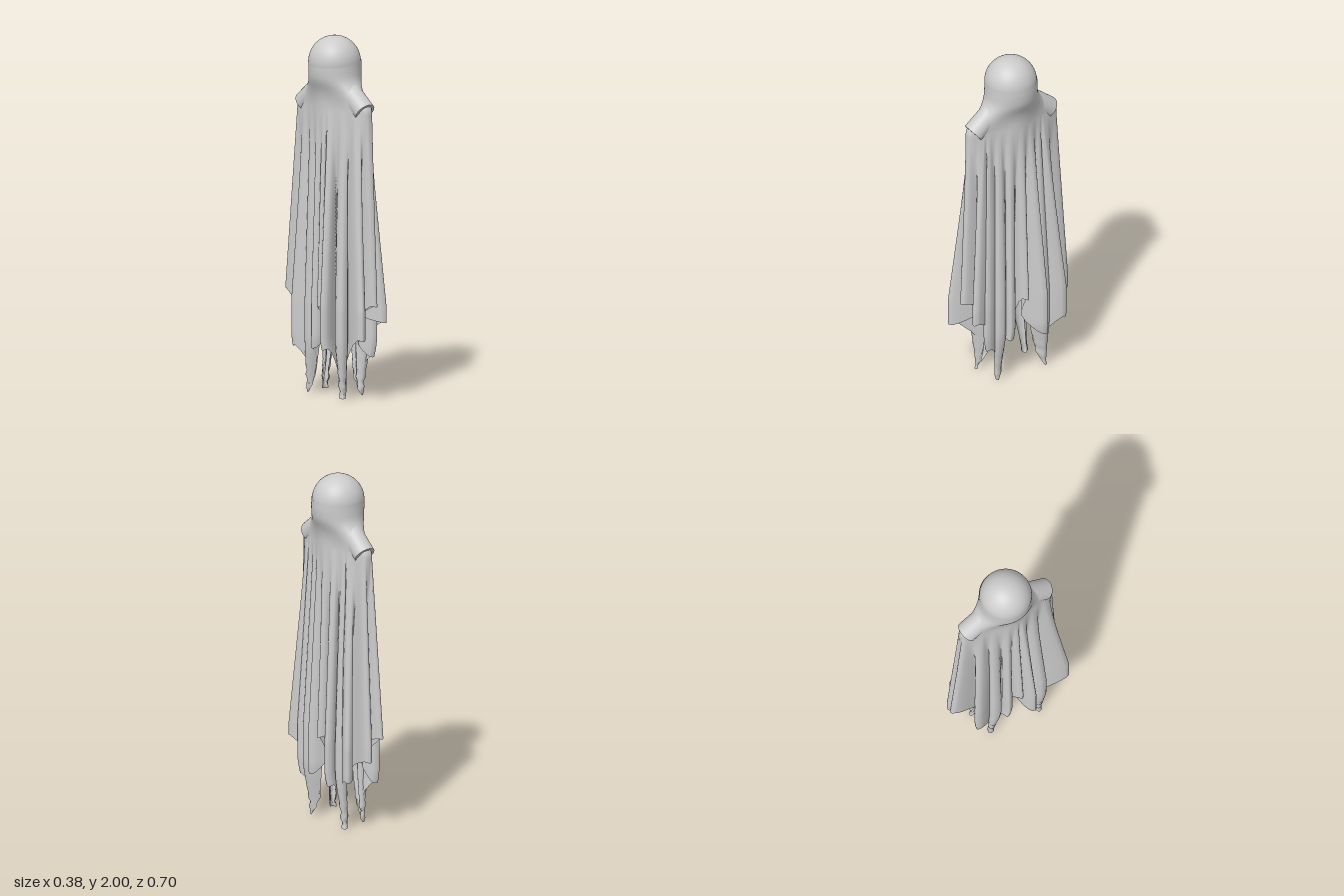
import * as THREE from 'three';

// Shared frame: body centre, and the shoulder axis seen from above (x, z)
const CX = 0, CZ = 0.02;
const ALONG = [-0.17, 0.985], ACROSS = [0.985, 0.17];
const A = 0.105, B = 0.29; // half width and half length of the draped body
const lerp = THREE.MathUtils.lerp, smooth = THREE.MathUtils.smoothstep;

// Outline point of half width a and half length b. With slim = 1 the ellipse
// becomes a long slot round the shoulder rods, a little wider in the middle.
function outline(a, b, t, slim = 0) {
  const l = b * Math.cos(t), s = Math.sin(t);
  const slot = Math.sign(s) * Math.abs(s) ** 0.7 * (0.067 + 0.033 * Math.exp(-((l / 0.11) ** 2)));
  const w = lerp(a * s, slot, slim);
  return [CX + ALONG[0] * l + ACROSS[0] * w, CZ + ALONG[1] * l + ACROSS[1] * w];
}

// Outer tips of the folds: x, z, hem height
const TIPS = [
  [0.03, -0.355, 0.55], [0.095, -0.32, 0.42], [0.18, -0.23, 0.3], [0.14, -0.14, 0],
  [0.19, -0.08, 0.25], [0.15, 0.03, 0.5], [0.12, 0.13, 0.26], [0.09, 0.2, 0],
  [0.06, 0.27, 0.22], [0.05, 0.345, 0.42], [-0.05, 0.355, 0.52], [-0.16, 0.345, 0.34],
  [-0.15, 0.19, 0], [-0.19, 0.08, 0.27], [-0.15, 0.02, 0.5], [-0.12, -0.05, 0.26],
  [-0.08, -0.13, 0], [-0.06, -0.24, 0.25],
];
// Where the four hanging corners gather
const FEET = [[-0.1, 0.16], [0.025, 0.16], [-0.03, -0.14], [0.09, -0.14]];

// Closed hem line: valley, flank, tip, flank for every fold
function hemColumns(perPoint) {
  const tips = TIPS.map(([x, z, y]) => {
    const dx = x - CX, dz = z - CZ;
    const l = dx * ALONG[0] + dz * ALONG[1], w = dx * ACROSS[0] + dz * ACROSS[1];
    return { x, z, y, t: Math.atan2(w / A, l / B) };
  }).sort((p, q) => p.t - q.t);
  const n = tips.length, points = [], info = [];
  const add = (x, y, z, t, fold) => { points.push(new THREE.Vector3(x, y, z)); info.push({ t, fold }); };
  for (let i = 0; i < n; i++) {
    const tip = tips[i], prev = tips[(i + n - 1) % n], next = tips[(i + 1) % n];
    const t0 = (tip.t + prev.t - (i === 0 ? 2 * Math.PI : 0)) / 2;
    const t1 = (tip.t + next.t + (i === n - 1 ? 2 * Math.PI : 0)) / 2;
    const [vx, vz] = outline(0.058, 0.21, t0);
    const [ex, ez] = outline(0.058, 0.21, t1);
    // Outward direction of this fold, from the middle of its two valleys
    let ox = tip.x - (vx + ex) / 2, oz = tip.z - (vz + ez) / 2;
    const len = Math.hypot(ox, oz);
    ox /= len; oz /= len;
    // Valleys beside a hanging corner drop with it
    add(vx, lerp(Math.min(tip.y, prev.y), Math.max(tip.y, prev.y), 0.38), vz, t0, 1);
    const half = tip.y === 0 ? 0.032 : 0.024;
    for (const side of [-1, 0, 1]) {
      const off = Math.abs(side);
      const t = side < 0 ? lerp(t0, tip.t, 0.6) : side > 0 ? lerp(t1, tip.t, 0.6) : tip.t;
      add(tip.x - ox * off * 0.024 + oz * side * half, tip.y + off * 0.005,
        tip.z - oz * off * 0.024 - ox * side * half, t, 0);
    }
  }
  const curve = new THREE.CatmullRomCurve3(points, true, 'centripetal');
  const count = points.length * perPoint, columns = [];
  for (let i = 0; i < count; i++) {
    const k = Math.floor(i / perPoint), f = (i % perPoint) / perPoint;
    const a = info[k], b = info[(k + 1) % info.length];
    const bt = k === info.length - 1 ? b.t + 2 * Math.PI : b.t;
    const p = curve.getPoint(i / count);
    columns.push({ x: p.x, y: Math.max(0, p.y), z: p.z, t: lerp(a.t, bt, f), fold: smooth(lerp(a.fold, b.fold, f), 0, 1) });
  }
  return columns;
}

// The sheet, from the head's equator over the shoulders down to the ragged hem
function makeCloth() {
  const columns = hemColumns(4), upper = 20, lower = 64, rows = upper + lower + 1;
  // Half width, height, half length down the neck and shoulders
  const neck = new THREE.CatmullRomCurve3([
    [0.145, 1.865, 0.145], [0.146, 1.82, 0.147], [0.139, 1.76, 0.156],
    [0.122, 1.7, 0.2], [0.112, 1.655, 0.25], [0.107, 1.628, 0.28], [A, 1.6, B],
  ].map((p) => new THREE.Vector3(...p)));
  const position = [], index = [];
  columns.forEach((c, i) => {
    const foot = FEET.reduce((m, f) =>
      Math.hypot(f[0] - c.x, f[1] - c.z) < Math.hypot(m[0] - c.x, m[1] - c.z) ? f : m);
    for (let r = 0; r < rows; r++) {
      if (r <= upper) {
        const k = neck.getPoint(r / upper);
        const [x, z] = outline(k.x, k.z, c.t, 1 - smooth(k.y, 1.6, 1.78));
        position.push(x, k.y, z);
      } else {
        const y = lerp(1.6, c.y, (r - upper) / lower);
        const [bx, bz] = outline(A, B, c.t, 1);
        // Valleys sink in early, tips spread steadily
        const tipBlend = Math.min(1, (1.6 - y) / 1.1);
        const valleyBlend = 1 - smooth(y, 0.85, 1.55);
        const w = lerp(tipBlend, valleyBlend, c.fold);
        let x = lerp(bx, c.x, w), z = lerp(bz, c.z, w);
        // Low corners gather into crumpled ends
        const g = 0.55 * (1 - smooth(y, 0, 0.34));
        x = lerp(x, foot[0], g);
        z = lerp(z, foot[1], g);
        const crumple = 0.005 * (1 - smooth(y, 0.03, 0.25));
        x += crumple * Math.sin(y * 110 + c.t * 25);
        z += crumple * Math.cos(y * 90 + c.t * 31);
        position.push(x, y, z);
      }
      if (r < rows - 1) {
        const a = i * rows + r, b = ((i + 1) % columns.length) * rows + r;
        index.push(a, a + 1, b, b, a + 1, b + 1);
      }
    }
  });
  const geometry = new THREE.BufferGeometry();
  geometry.setAttribute('position', new THREE.Float32BufferAttribute(position, 3));
  geometry.setIndex(index);
  geometry.computeVertexNormals();
  return geometry;
}

export function createModel() {
  const model = new THREE.Group();
  model.name = 'drapedGhost';
  const material = new THREE.MeshStandardMaterial({ color: 0xcccccc });
  const clothMaterial = new THREE.MeshStandardMaterial({ color: 0xcccccc, side: THREE.DoubleSide });

  const add = (name, geometry, mat) => {
    const mesh = new THREE.Mesh(geometry, mat);
    mesh.name = name;
    model.add(mesh);
    return mesh;
  };

  // Round head
  add('head', new THREE.SphereGeometry(0.145, 48, 32), material).position.set(-0.003, 1.855, CZ);

  // Sloping shoulder rods that carry the cloth at front and back
  for (const [name, s] of [['frontShoulder', 1], ['backShoulder', -1]]) {
    const length = 0.21;
    const dir = new THREE.Vector3(ALONG[0] * s * 0.78, -0.625, ALONG[1] * s * 0.78).normalize();
    const end = new THREE.Vector3(CX + ALONG[0] * s * 0.25, 1.598, CZ + ALONG[1] * s * 0.25);
    const rod = add(name, new THREE.CylinderGeometry(0.06, 0.06, length, 32), material);
    rod.quaternion.setFromUnitVectors(new THREE.Vector3(0, 1, 0), dir);
    rod.position.copy(end).addScaledVector(dir, -length / 2);
  }

  add('cloth', makeCloth(), clothMaterial);
  return model;
}
